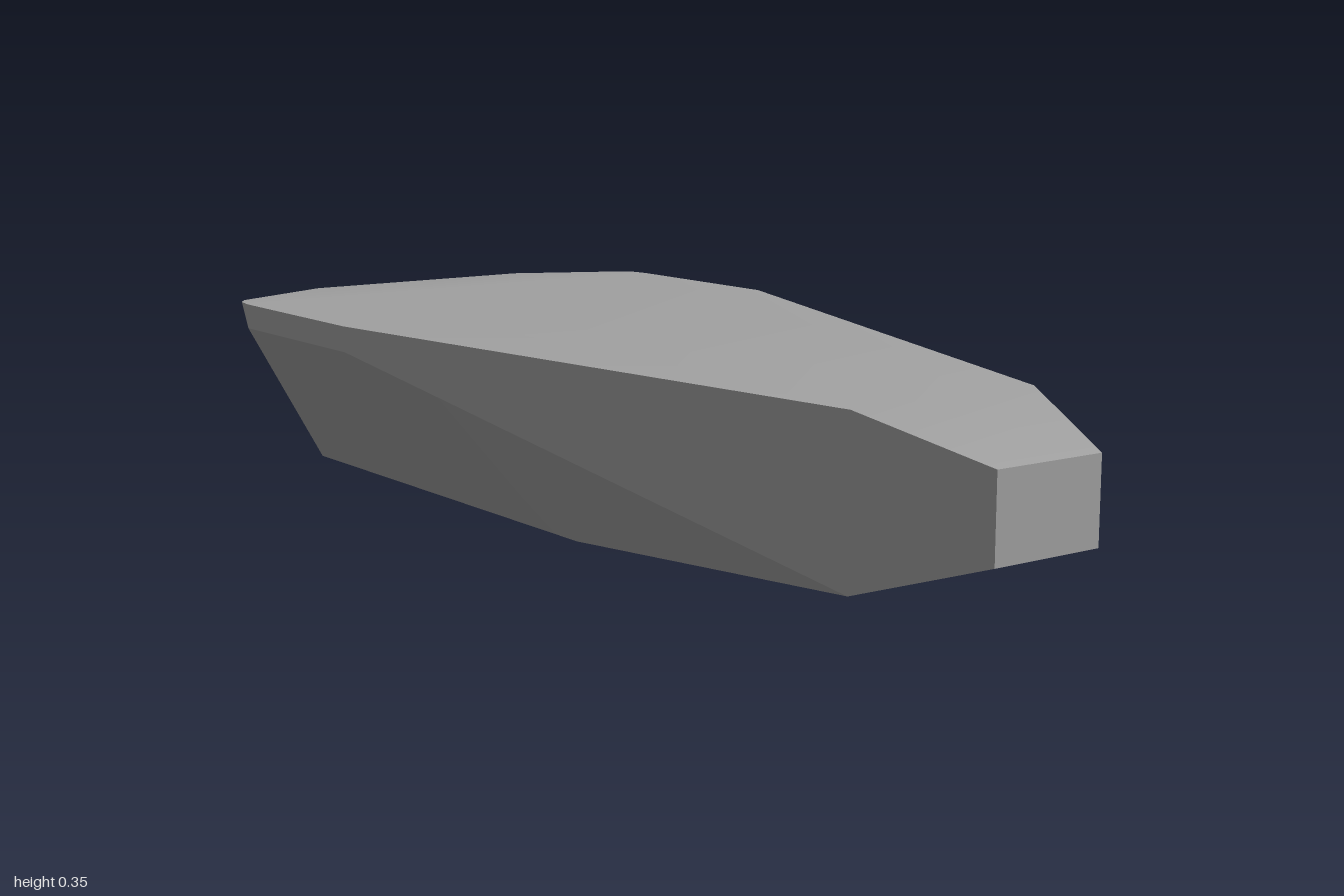
import * as THREE from 'three';
import { toCreasedNormals } from 'three/addons/utils/BufferGeometryUtils.js';
import { ConvexGeometry } from 'three/addons/geometries/ConvexGeometry.js';

export function createModel() {
  const group = new THREE.Group();
  const grey = new THREE.MeshStandardMaterial({ color: 0xa0a0a0 });
  grey.name = 'stone grey';

  // Corners of the left half (x, y, z), front to back; mirrored for the right
  const half = [
    [0.107, 0.11, 1], [0.107, 0.254, 1],              // blunt nose
    [0.19, 0.035, 0.78], [0.19, 0.317, 0.78],         // nose shoulder
    [0.237, 0, 0.13], [0.237, 0.348, 0.13],           // start of flat top and base
    [0.47, 0.302, -0.26], [0.47, 0.348, -0.26],       // widest part
    [0.47, 0.302, -0.65], [0.47, 0.348, -0.65],
    [0.463, 0.348, -0.69], [0.44, 0.346, -0.73],      // rounded rear corner
    [0.237, 0, -0.81], [0.237, 0.348, -0.81],         // end of flat top and base
    [0.12, 0.087, -1], [0.12, 0.27, -1],              // blunt tail
  ];
  const points = half.flatMap(([x, y, z]) => [
    new THREE.Vector3(x, y, z),
    new THREE.Vector3(-x, y, z),
  ]);

  // Faceted hull with soft shading across the shallow bends
  const hull = new THREE.Mesh(toCreasedNormals(new ConvexGeometry(points), 0.45), grey);
  hull.name = 'hull';
  group.add(hull);
  return group;
}
